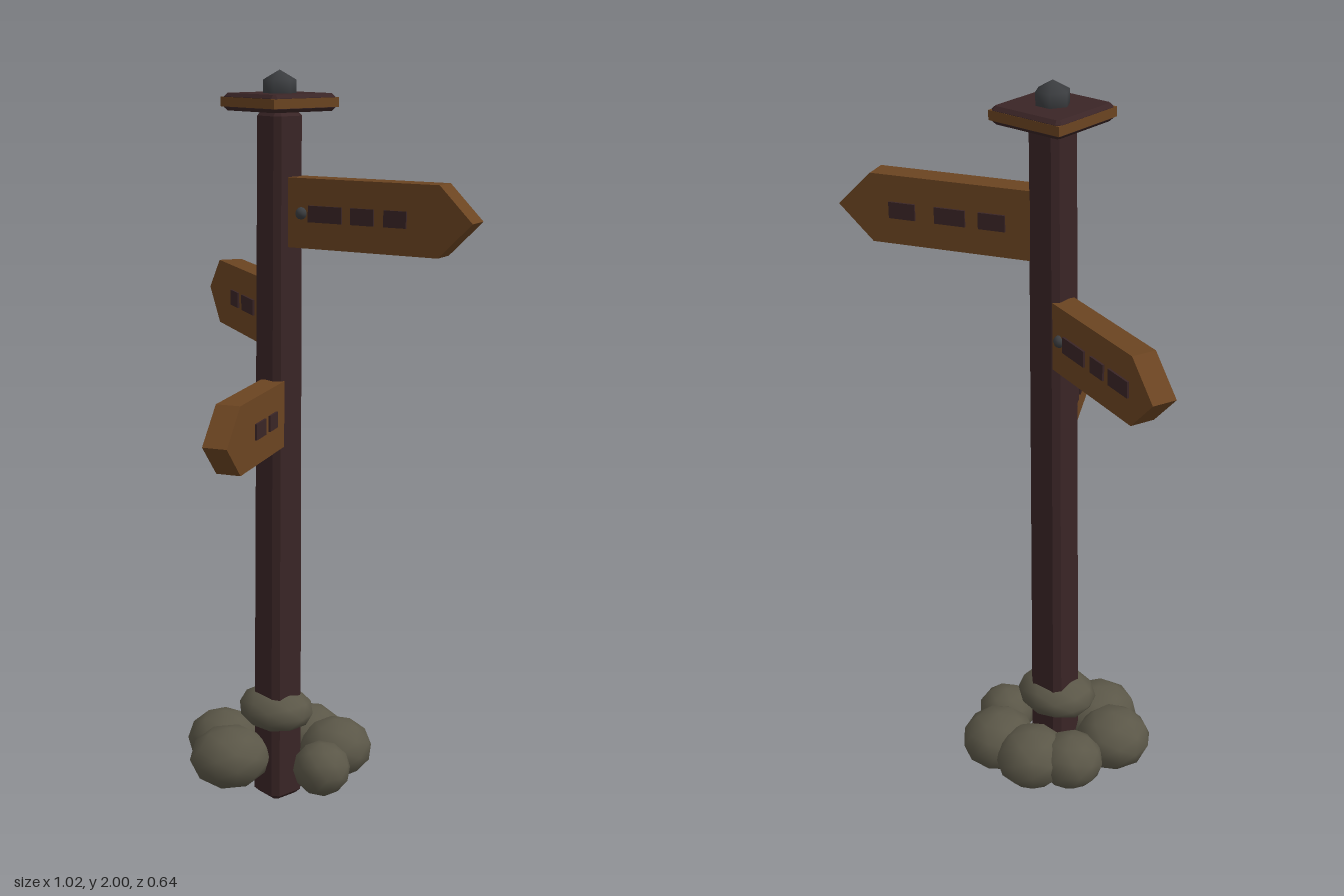
import * as THREE from 'three';
import { mergeVertices } from 'three/addons/utils/BufferGeometryUtils.js';

const material = (name, color, flatShading = false) => {
  const m = new THREE.MeshStandardMaterial({ color, flatShading });
  m.name = name;
  return m;
};

// Box with chamfered edges, standing on y = 0 and tapering to topScale
function chamferedBox(width, height, bevel, topScale = 1) {
  const a = width / 2 - bevel, c = a - bevel * 0.6;
  const shape = new THREE.Shape([
    [a, -c], [a, c], [c, a], [-c, a], [-a, c], [-a, -c], [-c, -a], [c, -a],
  ].map(([x, y]) => new THREE.Vector2(x, y)));
  const g = new THREE.ExtrudeGeometry(shape, {
    depth: height - 2 * bevel, bevelEnabled: true,
    bevelThickness: bevel, bevelSize: bevel, bevelSegments: 1,
  });
  g.translate(0, 0, bevel).rotateX(-Math.PI / 2);
  const p = g.attributes.position;
  for (let i = 0; i < p.count; i++) {
    const k = 1 + (topScale - 1) * p.getY(i) / height;
    p.setX(i, p.getX(i) * k);
    p.setZ(i, p.getZ(i) * k);
  }
  g.computeVertexNormals();
  return g;
}

// Smooth low-poly pebble
function stoneGeometry() {
  const g = new THREE.IcosahedronGeometry(1, 1);
  g.deleteAttribute('uv');
  g.deleteAttribute('normal');
  const merged = mergeVertices(g, 1e-4);
  merged.computeVertexNormals();
  return merged;
}

export function createModel() {
  const darkWood = material('dark wood', 0x3a2526);
  const boardWood = material('board wood', 0x6b4421);
  const stone = material('stone', 0x5b5748);
  const iron = material('iron', 0x3c3e41);

  const model = new THREE.Group();
  const sign = new THREE.Group();
  sign.name = 'signpost';
  sign.position.set(-0.028, 0, -0.083);
  model.add(sign);

  const add = (parent, name, geometry, mat, x = 0, y = 0, z = 0) => {
    const mesh = new THREE.Mesh(geometry, mat);
    mesh.name = name;
    mesh.position.set(x, y, z);
    parent.add(mesh);
    return mesh;
  };

  // Post, cap and finial
  add(sign, 'post', chamferedBox(0.108, 1.9, 0.014, 0.87), darkWood);
  add(sign, 'cap', chamferedBox(0.212, 0.044, 0.009), darkWood, 0, 1.898);
  add(sign, 'capBand', new THREE.BoxGeometry(0.214, 0.024, 0.214), boardWood, 0, 1.92);
  add(sign, 'finial', new THREE.SphereGeometry(0.05, 6, 3), iron, 0, 1.95);

  // Arrow boards: +x runs along the board, the bolt is on the +z face
  const thick = 0.065, half = 0.089;
  const boards = [
    { name: 'upperBoard', y: 1.645, angle: 20, length: 0.558,
      front: [[0.106, 0.202], [0.227, 0.292], [0.32, 0.382]],
      back: [[0.112, 0.182], [0.217, 0.298], [0.35, 0.42]] },
    { name: 'middleBoard', y: 1.375, angle: 160, length: 0.5,
      front: [[0.106, 0.205], [0.234, 0.292], [0.315, 0.4]],
      back: [[0.104, 0.2], [0.234, 0.296]] },
    { name: 'lowerBoard', y: 1.115, angle: -60, length: 0.45,
      front: [[0.112, 0.168], [0.2, 0.255]],
      back: [[0.107, 0.163], [0.193, 0.261]] },
  ];
  for (const b of boards) {
    const group = new THREE.Group();
    group.name = b.name;
    group.position.y = b.y;
    group.rotation.y = THREE.MathUtils.degToRad(b.angle);
    sign.add(group);

    const shoulder = b.length - 0.09;
    const outline = new THREE.Shape([
      [0.045, -half], [shoulder, -half], [b.length, 0], [shoulder, half], [0.045, half],
    ].map(([x, y]) => new THREE.Vector2(x, y)));
    const g = new THREE.ExtrudeGeometry(outline, { depth: thick, bevelEnabled: false });
    add(group, 'arrowBoard', g.translate(0, 0, -thick / 2), boardWood);

    // Dark dashes on both faces
    for (const [dashes, side] of [[b.front, 1], [b.back, -1]]) {
      for (const [from, to] of dashes) {
        add(group, 'dash', new THREE.BoxGeometry(to - from, 0.042, 0.009), darkWood,
          (from + to) / 2, 0, side * (thick / 2 + 0.001));
      }
    }
    add(group, 'bolt', new THREE.SphereGeometry(0.016, 8, 6), iron, 0.084, 0, thick / 2);
  }

  // Stones around the foot: centre x, y, z, radii x, y, z, turn
  const pebble = stoneGeometry();
  const stones = [
    [-0.18, 0.13, -0.012, 0.106, 0.084, 0.104, 0.3],
    [-0.073, 0.13, 0.053, 0.114, 0.086, 0.108, 1.1],
    [-0.152, 0.13, -0.165, 0.09, 0.078, 0.09, 2.0],
    [-0.06, 0.13, -0.22, 0.104, 0.084, 0.104, 0.7],
    [0.066, 0.13, -0.218, 0.104, 0.084, 0.102, 1.6],
    [0.138, 0.125, -0.103, 0.084, 0.074, 0.08, 2.6],
    [-0.03, 0.257, -0.078, 0.116, 0.06, 0.097, 0],
  ];
  for (const [x, y, z, rx, ry, rz, turn] of stones) {
    const mesh = add(model, 'stone', pebble, stone, x, y, z);
    mesh.scale.set(rx, ry, rz);
    mesh.rotation.y = turn;
  }
  return model;
}
